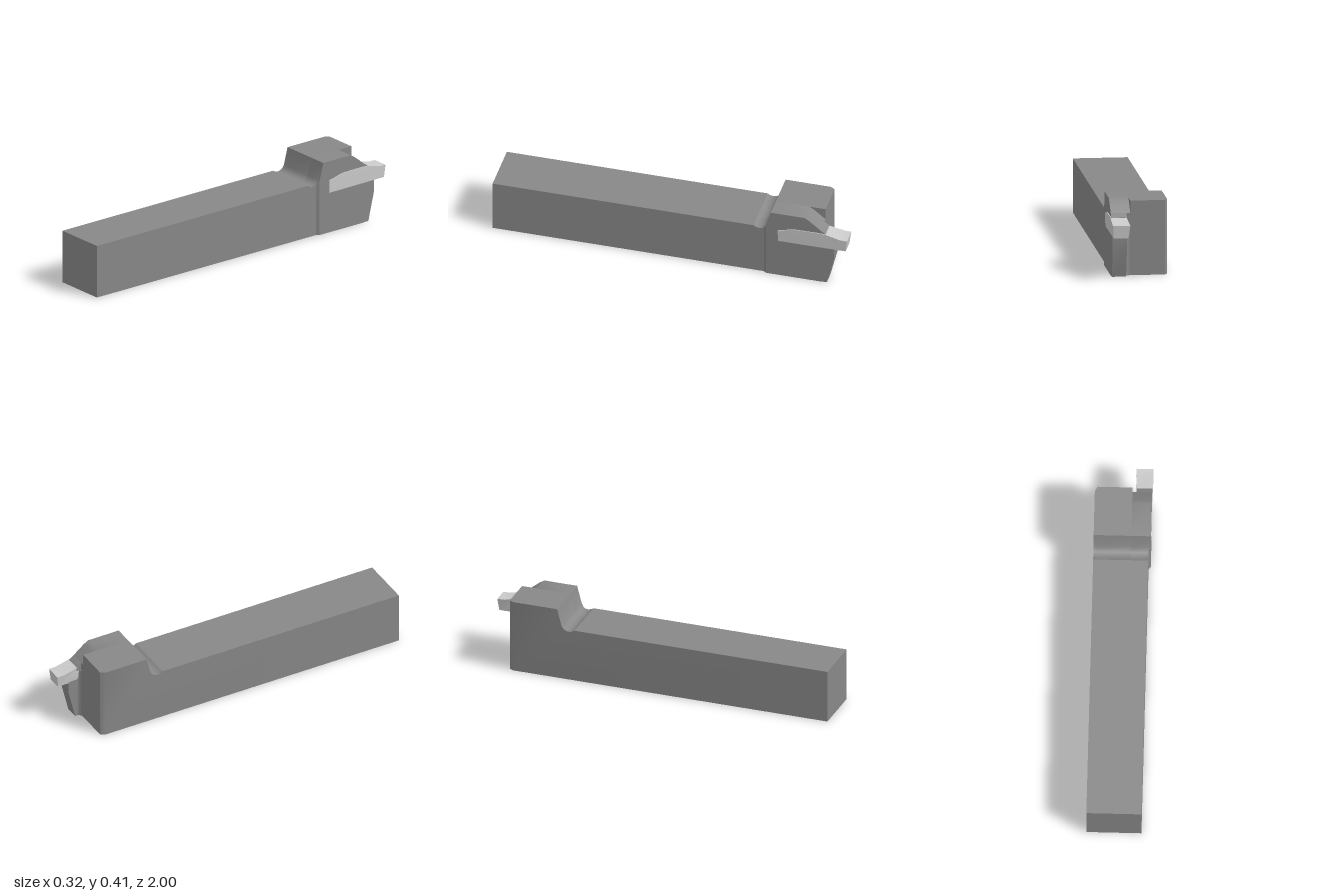
import * as THREE from 'three';
import { toCreasedNormals } from 'three/addons/utils/BufferGeometryUtils.js';

const steel = new THREE.MeshStandardMaterial({ color: 0x888888 });
const carbide = new THREE.MeshStandardMaterial({ color: 0xcccccc });

// Extrudes a side profile of [z, y] points across x0..x1; rule may move the vertices
function slab(name, points, x0, x1, material, rule) {
  const shape = new THREE.Shape(points.map(([z, y]) => new THREE.Vector2(-z, y)));
  let geo = new THREE.ExtrudeGeometry(shape, { depth: x1 - x0, bevelEnabled: false });
  geo.rotateY(Math.PI / 2).translate(x0, 0, 0);
  if (rule) {
    const p = geo.attributes.position;
    const v = new THREE.Vector3();
    for (let i = 0; i < p.count; i++) {
      rule(v.fromBufferAttribute(p, i));
      p.setXYZ(i, v.x, v.y, v.z);
    }
  }
  geo = toCreasedNormals(geo, 0.55);
  const mesh = new THREE.Mesh(geo, material);
  mesh.name = name;
  return mesh;
}

export function createModel() {
  const group = new THREE.Group();
  group.name = 'grooveToolHolder';

  const left = -0.16, shankRight = 0.14, headRight = 0.152;
  const notchX = 0.045, bladeX = 0.067, headEnd = -0.85;

  // Relief groove that rises from the shank into the head
  const relief = [[-0.47, 0.3], [-0.482, 0.292], [-0.5, 0.288], [-0.518, 0.291],
    [-0.533, 0.3], [-0.544, 0.316], [-0.57, 0.413]];
  const clampSlope = [[-0.76, 0.413], [-0.785, 0.398], [-0.82, 0.37], [headEnd, 0.345]];

  // Shank and full-height part of the head
  const main = [[1, 0], [1, 0.3], ...relief, [headEnd, 0.413], [headEnd, 0]];
  group.add(slab('shankAndHead', main, left + 0.015, notchX, steel));
  group.add(slab('chamferedSide', main, left, left + 0.015, steel, (v) => {
    if (v.x < left + 0.005 && v.z < -0.84) v.z = headEnd + 0.025;
  }));

  // Part of the body cut down in front of the clamp
  const cut = [[1, 0], [1, 0.3], ...relief, ...clampSlope, [headEnd, 0]];
  group.add(slab('clampSide', cut, notchX, shankRight, steel));

  // Raised cheek of the head with a bevelled leading edge
  const cheek = [[-0.528, 0], [-0.528, 0.297], [-0.544, 0.316], [-0.57, 0.413],
    ...clampSlope, [headEnd, 0]];
  group.add(slab('headCheek', cheek, shankRight, headRight, steel, (v) => {
    if (v.x > shankRight + 0.005 && v.z > -0.543) v.z = -0.543;
  }));

  // Clamp nose above the insert, and support blade below it
  group.add(slab('clampNose', [[-0.8, 0.3], [-0.8, 0.37], [headEnd, 0.345],
    [-0.878, 0.325], [-0.878, 0.3]], bladeX, headRight, steel));
  group.add(slab('supportBlade', [[-0.8, 0], [-0.8, 0.24], [-0.925, 0.24],
    [-0.925, 0.165], [-0.885, 0]], bladeX + 0.005, headRight - 0.002, steel));

  // Concave fillet between the blade and the end of the head
  const r = 0.027;
  const corner = new THREE.Shape();
  corner.moveTo(bladeX + 0.006, -headEnd - 0.01);
  corner.lineTo(bladeX + 0.006, -headEnd + r);
  corner.absarc(bladeX + 0.006 - r, -headEnd + r, r, 0, -Math.PI / 2, true);
  corner.lineTo(bladeX + 0.006 - r, -headEnd - 0.01);
  const filletGeo = new THREE.ExtrudeGeometry(corner, { depth: 0.3, bevelEnabled: false, curveSegments: 8 });
  filletGeo.rotateX(-Math.PI / 2);
  const fillet = new THREE.Mesh(toCreasedNormals(filletGeo, 0.5), steel);
  fillet.name = 'bladeFillet';
  group.add(fillet);

  // Cutting insert, narrower at its underside and towards its rear
  const insert = [[-0.61, 0.23], [-0.61, 0.303], [-0.65, 0.312], [-0.7, 0.325],
    [-0.85, 0.327], [-0.88, 0.324], [-0.96, 0.303], [-1, 0.302], [-0.992, 0.232]];
  group.add(slab('cuttingInsert', insert, 0.062, 0.156, carbide, (v) => {
    const t = Math.max(0, (0.3 - v.y) / 0.07);
    if (v.x > 0.1) v.x -= 0.003 * t;
    else v.x += 0.01 * t + (v.z > -0.9 ? 0.006 : 0);
  }));

  return group;
}
